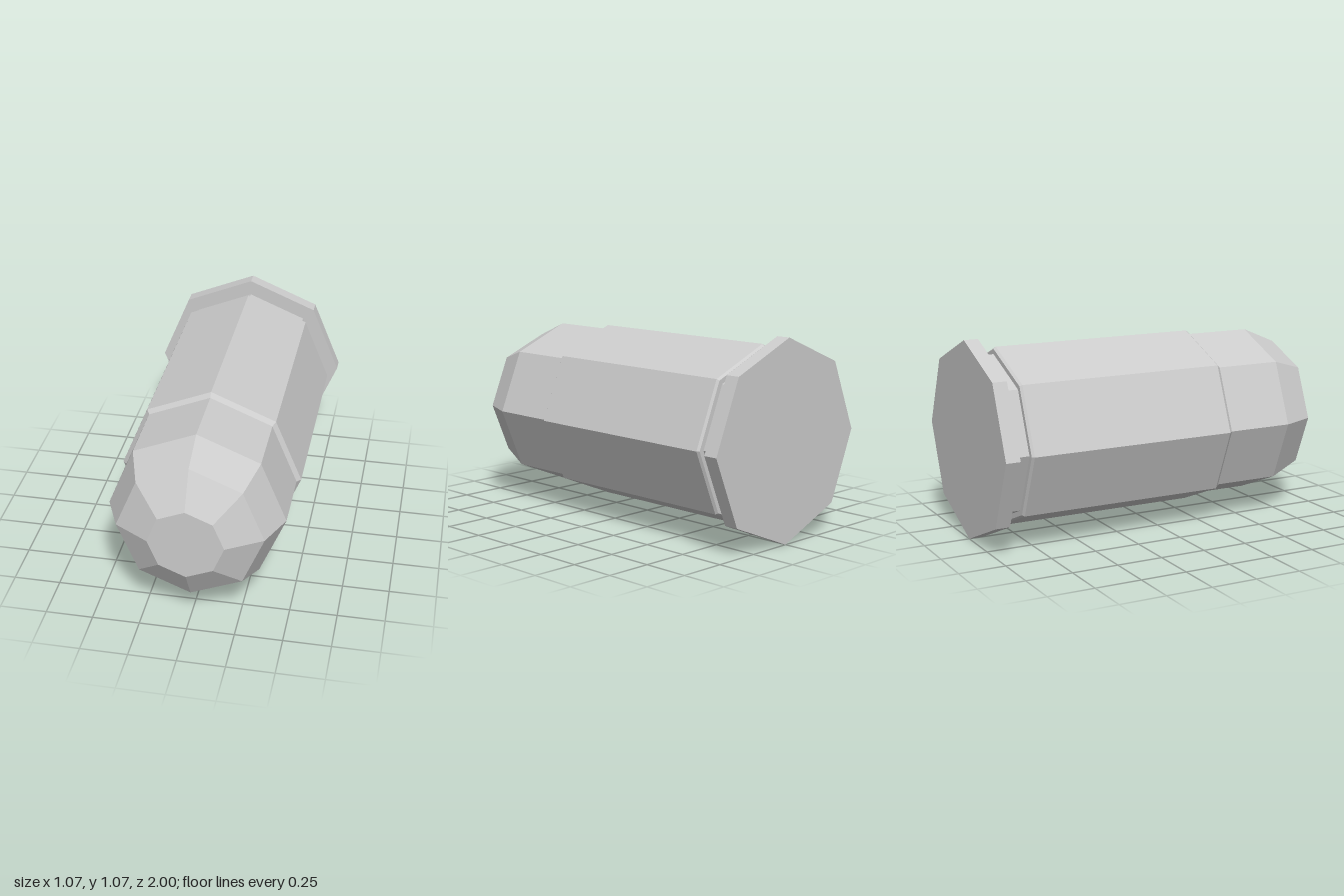
import * as THREE from 'three';

const SIDES = 8;
const RADIUS = 0.533; // widest part, rests on the ground by one corner

// Octagonal turned part along z from [radius, z] pairs, listed back to front
function turned(name, profile) {
  const points = profile.map(([r, z]) => new THREE.Vector2(r, z));
  const lathe = new THREE.LatheGeometry(points, SIDES);
  lathe.rotateX(Math.PI / 2);
  const geometry = lathe.toNonIndexed();
  geometry.computeVertexNormals();
  const material = new THREE.MeshStandardMaterial({ color: 0xcccccc, flatShading: true });
  const mesh = new THREE.Mesh(geometry, material);
  mesh.name = name;
  mesh.position.y = RADIUS;
  return mesh;
}

export function createModel() {
  const group = new THREE.Group();
  group.name = 'cartridge';

  // Casing: flat base, rim, extractor groove, body and chamfered mouth
  group.add(turned('casing', [
    [0, -1], [RADIUS, -1], [RADIUS, -0.922],
    [0.447, -0.922], [0.447, -0.838],
    [0.475, -0.838], [0.485, -0.825],
    [0.485, 0.315], [0.463, 0.338],
  ]));

  // Bullet: straight shank, two tapers and a flat nose
  group.add(turned('bullet', [
    [0.463, 0.338], [0.463, 0.7], [0.381, 0.89], [0.197, 1], [0, 1],
  ]));

  return group;
}
